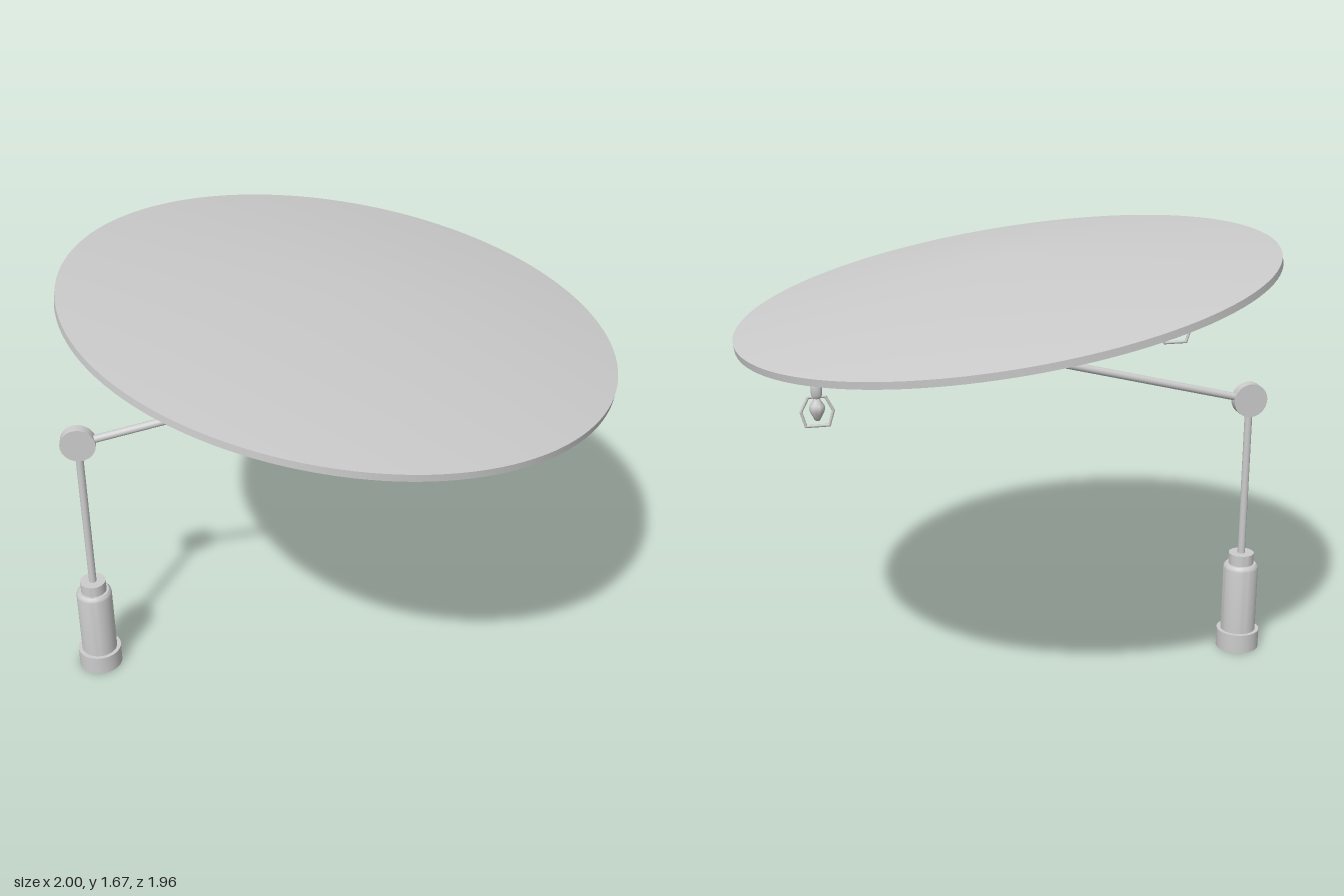
import * as THREE from 'three';
import { toCreasedNormals } from 'three/addons/utils/BufferGeometryUtils.js';

const material = new THREE.MeshStandardMaterial({ color: 0xcccccc, side: THREE.DoubleSide });
const UP = new THREE.Vector3(0, 1, 0);

function part(name, geometry, x = 0, y = 0, z = 0) {
  const mesh = new THREE.Mesh(geometry, material);
  mesh.name = name;
  mesh.position.set(x, y, z);
  return mesh;
}

// Turned part from [radius, height] pairs, with sharp edges kept
function turned(name, profile, segments, x = 0, y = 0) {
  const lathe = new THREE.LatheGeometry(profile.map(([r, h]) => new THREE.Vector2(r, h)), segments);
  return part(name, toCreasedNormals(lathe, 0.6), x, y);
}

// Round bar between two points in the xy plane
function rod(name, a, b, radius, sides = 20) {
  const from = new THREE.Vector3(a[0], a[1], 0);
  const to = new THREE.Vector3(b[0], b[1], 0);
  const dir = to.clone().sub(from);
  const mesh = part(name, new THREE.CylinderGeometry(radius, radius, dir.length(), sides));
  mesh.position.copy(from).add(to).multiplyScalar(0.5);
  mesh.quaternion.setFromUnitVectors(UP, dir.normalize());
  return mesh;
}

// Flat round pivot facing front and back
function joint(name, [x, y]) {
  const geometry = new THREE.CylinderGeometry(0.065, 0.065, 0.04, 48).rotateX(Math.PI / 2);
  return part(name, geometry, x, y);
}

// Hanging bulb with a flat hexagonal wire guard; y is the underside of the guard
function pendant(name, x, y, top) {
  const lamp = new THREE.Group();
  lamp.name = name;
  lamp.position.set(x, y, 0);
  lamp.add(rod('pendantStem', [0, 0.15], [0, top - y], 0.0135));
  lamp.add(turned('bulbSocket', [
    [0, 0.165], [0.0135, 0.165], [0.02, 0.155], [0.02, 0.12], [0.013, 0.108], [0, 0.108],
  ], 24));
  lamp.add(turned('bulb', [
    [0, 0.11], [0.012, 0.108], [0.016, 0.097], [0.026, 0.083], [0.029, 0.072],
    [0.026, 0.058], [0.018, 0.043], [0.011, 0.029], [0.006, 0.024], [0, 0.022],
  ], 24));
  const corners = [[0.042, 0.005], [0.058, 0.06], [0.031, 0.113], [-0.031, 0.113], [-0.058, 0.06], [-0.042, 0.005]];
  corners.forEach((corner, i) => {
    lamp.add(rod('guardWire', corner, corners[(i + 1) % corners.length], 0.0055, 10));
    lamp.add(part('guardCorner', new THREE.SphereGeometry(0.0055, 10, 8), corner[0], corner[1]));
  });
  return lamp;
}

export function createModel() {
  const model = new THREE.Group();
  model.name = 'canopyLamp';

  const baseX = -0.917;
  const shoulder = [baseX, 1.028];
  const elbow = [-0.015, 1.255];

  // Base: hollow foot ring, bottle-shaped body and neck
  model.add(turned('footRing', [
    [0.067, 0], [0.083, 0], [0.083, 0.076], [0.067, 0.076], [0.067, 0],
  ], 48, baseX));
  model.add(turned('baseBody', [
    [0, 0.06], [0.068, 0.06], [0.068, 0.338], [0.066, 0.348], [0.058, 0.356], [0, 0.356],
  ], 48, baseX));
  model.add(turned('baseNeck', [[0, 0.35], [0.049, 0.35], [0.049, 0.4], [0, 0.4]], 40, baseX));

  // Jointed arm
  model.add(rod('upright', [baseX, 0.39], shoulder, 0.0145));
  model.add(joint('shoulderJoint', shoulder));
  model.add(rod('arm', shoulder, elbow, 0.0145));
  model.add(joint('elbowJoint', elbow));
  model.add(rod('canopyPost', elbow, [0.049, 1.608], 0.0145));

  // Tilted shallow conical canopy, hollow underneath
  const canopy = turned('canopy', [
    [0, 0.115], [0.982, 0], [0.982, 0.025], [0, 0.14],
  ], 128, 0.03, 1.487);
  canopy.rotation.z = -0.159;
  model.add(canopy);

  // Pendant lamps
  model.add(pendant('rightPendant', -0.613, 1.265, 1.64));
  model.add(pendant('leftPendant', 0.722, 1.035, 1.42));

  return model;
}
